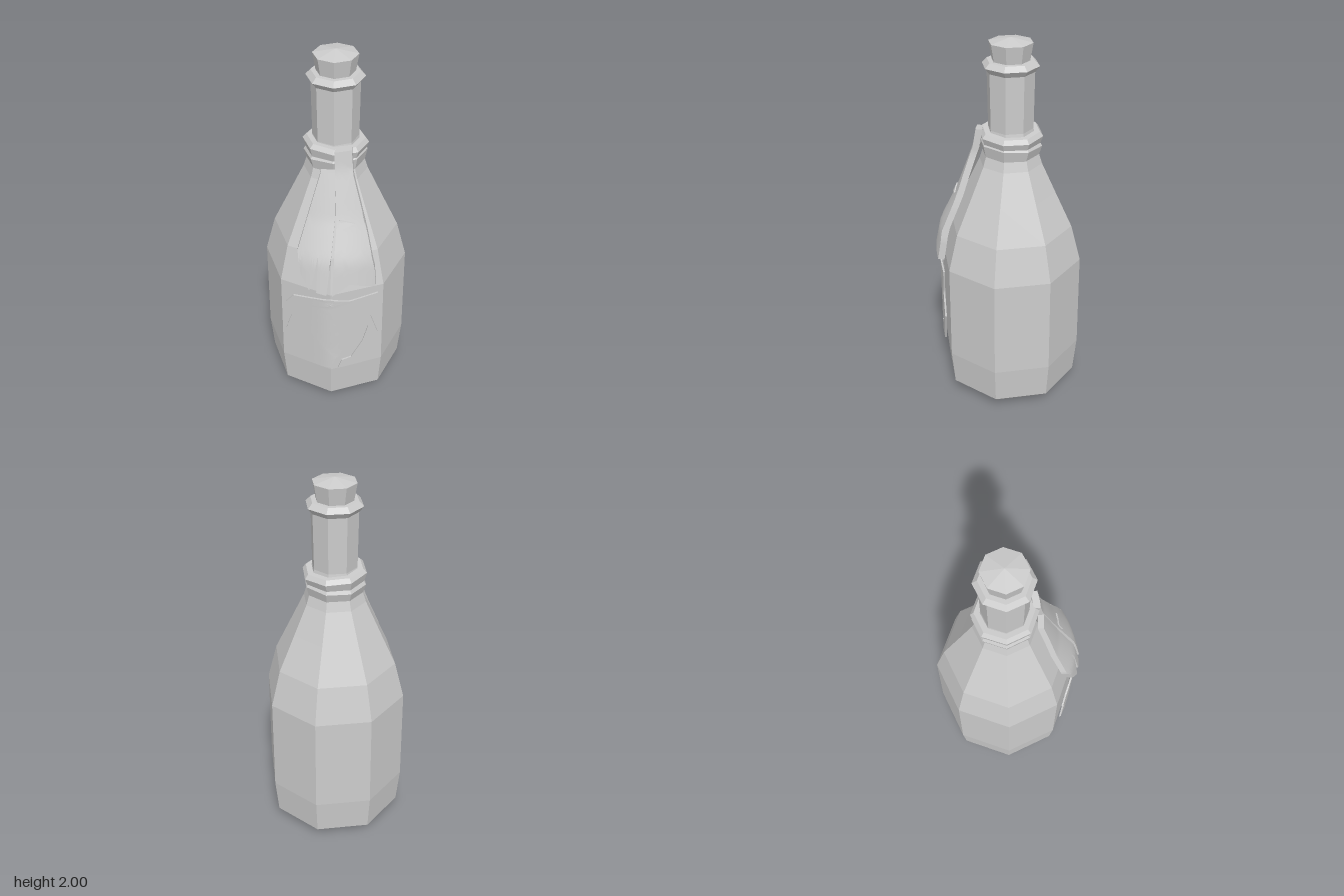
import * as THREE from 'three';
import { toCreasedNormals } from 'three/addons/utils/BufferGeometryUtils.js';

const AXIS_Z = -0.012;
const flat = new THREE.MeshStandardMaterial({ color: 0xcccccc, flatShading: true });
const smooth = new THREE.MeshStandardMaterial({ color: 0xcccccc, side: THREE.DoubleSide });

// Eight-sided turned part from [radius, y] pairs, listed bottom to top
function turned(name, profile) {
  const points = profile.map(([r, y]) => new THREE.Vector2(r, y));
  const mesh = new THREE.Mesh(new THREE.LatheGeometry(points, 8), flat);
  mesh.name = name;
  mesh.position.z = AXIS_Z;
  return mesh;
}

// Split every triangle into four so that a flat sheet can be bent
function subdivide(geometry, levels) {
  let p = Array.from(geometry.toNonIndexed().attributes.position.array);
  for (let l = 0; l < levels; l++) {
    const out = [];
    for (let i = 0; i < p.length; i += 9) {
      const [a, b, c] = [0, 3, 6].map((k) => p.slice(i + k, i + k + 3));
      const mid = (u, v) => u.map((n, k) => (n + v[k]) / 2);
      const ab = mid(a, b), bc = mid(b, c), ca = mid(c, a);
      out.push(...[a, ab, ca, ab, b, bc, ca, bc, c, ab, bc, ca].flat());
    }
    p = out;
  }
  return new THREE.BufferGeometry().setAttribute('position', new THREE.Float32BufferAttribute(p, 3));
}

// Cut-out sheet whose front lies on z = surface(x, y)
function sheet(name, outline, thickness, surface) {
  const shape = new THREE.Shape(outline.map(([x, y]) => new THREE.Vector2(x, y)));
  const solid = new THREE.ExtrudeGeometry(shape, { depth: 1, bevelEnabled: false });
  if (solid.index === null) solid.setIndex([...Array(solid.attributes.position.count).keys()]);
  const geometry = subdivide(solid, 3);
  const p = geometry.attributes.position;
  for (let i = 0; i < p.count; i++) {
    p.setZ(i, surface(p.getX(i), p.getY(i)) + (p.getZ(i) - 1) * thickness);
  }
  geometry.computeVertexNormals();
  const mesh = new THREE.Mesh(toCreasedNormals(geometry, 0.6), smooth);
  mesh.name = name;
  return mesh;
}

// Fall of the cloth: depth along the centre line, rounded away to the sides
const FALL = [[0.8, 0.402], [1.0, 0.362], [1.2, 0.265], [1.45, 0.172], [1.56, 0.152]];
function clothSurface(x, y) {
  let i = 0;
  while (i < FALL.length - 2 && y > FALL[i + 1][0]) i++;
  const [y0, z0] = FALL[i], [y1, z1] = FALL[i + 1];
  return z0 + ((z1 - z0) * (y - y0)) / (y1 - y0) - 1.25 * x * x;
}

// Paper follows the two front panels, softened over their shared edge
const labelSurface = (x) => 0.404 - 0.414 * Math.hypot(x, 0.04);

export function createModel() {
  const model = new THREE.Group();
  model.name = 'bottle';

  // Glass body with neck and lip
  model.add(turned('body', [
    [0, 0.02], [0.30, 0], [0.37, 0.06], [0.388, 0.26], [0.383, 0.8], [0.33, 1.0],
    [0.24, 1.19], [0.165, 1.35], [0.14, 1.43], [0.118, 1.54], [0.122, 1.835],
  ]));
  model.add(turned('lip', [
    [0.1, 1.835], [0.123, 1.835], [0.146, 1.865], [0.122, 1.89], [0.09, 1.89],
  ]));
  model.add(turned('cork', [[0.095, 1.88], [0.112, 1.978], [0, 2.0]]));

  // Cloth wound twice around the neck
  const lowerWrap = turned('lowerWrap', [
    [0.12, -0.04], [0.147, -0.04], [0.163, 0.02], [0.15, 0.04], [0.12, 0.04],
  ]);
  lowerWrap.position.y = 1.435;
  lowerWrap.rotation.set(-0.05, 0, 0.04);
  const upperWrap = turned('upperWrap', [
    [0.12, -0.035], [0.15, -0.035], [0.168, 0.02], [0.15, 0.042], [0.115, 0.042],
  ]);
  upperWrap.position.y = 1.488;
  upperWrap.rotation.set(-0.04, 0, -0.04);
  model.add(lowerWrap, upperWrap);

  // Torn hanging ends of the cloth
  model.add(sheet('rightClothEnd', [
    [-0.06, 1.43], [-0.12, 1.22], [-0.172, 1.04], [-0.155, 0.92], [-0.11, 0.835],
    [-0.095, 0.88], [-0.064, 1.03], [-0.072, 0.83], [-0.02, 0.82], [0.0, 1.0],
    [0.015, 1.2], [0.015, 1.43],
  ], 0.03, clothSurface));
  model.add(sheet('leftClothEnd', [
    [0.005, 1.535], [0.025, 1.2], [0.01, 0.82], [0.1, 0.885], [0.232, 0.845], [0.222, 0.95],
    [0.18, 1.13], [0.1, 1.42], [0.09, 1.545],
  ], 0.035, (x, y) => clothSurface(x, y) + 0.004));

  // Small tear flap standing off the left end
  model.add(sheet('tearFlap', [
    [0.035, 1.16], [0.115, 1.19], [0.04, 1.21],
  ], 0.012, (x, y) => clothSurface(x, y) + 0.012));

  // Torn paper label
  model.add(sheet('label', [
    [0, 0.78], [-0.07, 0.77], [-0.2, 0.745], [-0.245, 0.68], [-0.215, 0.6], [-0.25, 0.48],
    [-0.145, 0.29], [0, 0.285], [0.03, 0.36], [0.1, 0.385], [0.2, 0.56], [0.17, 0.45],
    [0.11, 0.345], [0.06, 0.335], [0.04, 0.28], [0.17, 0.285], [0.25, 0.49], [0.21, 0.62],
    [0.245, 0.775], [0.1, 0.755],
  ], 0.01, labelSurface));

  return model;
}
